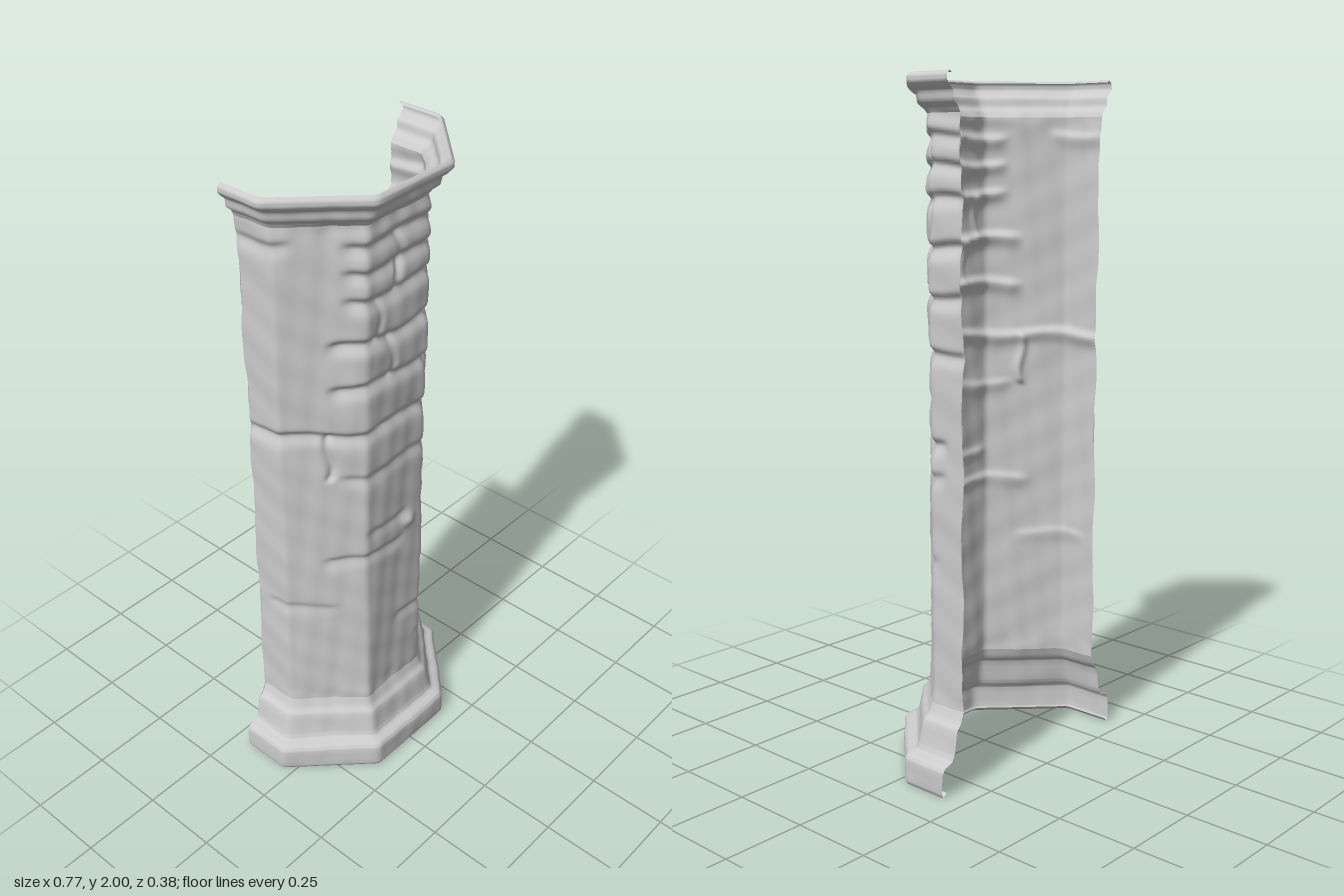
import * as THREE from 'three';

// Half-octagon column shell: centre of the octagon lies on the open back edge.
const BACK = -0.19, COLS = 128;

// Silhouette: [height, distance from centre to the flat of a face]
const baseProfile = [[0.012, 0.362], [0, 0.375], [0.012, 0.381], [0.075, 0.381], [0.09, 0.372],
  [0.1, 0.345], [0.12, 0.337], [0.185, 0.327], [0.205, 0.31], [0.235, 0.299]];
const capProfile = [[1.895, 0.299], [1.91, 0.307], [1.925, 0.325], [1.95, 0.329], [1.96, 0.342],
  [1.975, 0.355], [1.99, 0.355], [2, 0.345], [1.994, 0.338]];

// Mortar lines: [height, depth, start angle, end angle]; angle 0 faces front
const beds = [[1.9, 0.008, -40, 90], [1.835, 0.013, -32, 90], [1.755, 0.014, -32, 90],
  [1.67, 0.014, -32, 90], [1.54, 0.016, -40, 90], [1.405, 0.014, -40, 90], [1.25, 0.013, -90, 90],
  [1.1, 0.007, -35, 60], [0.99, 0.013, 26, 75], [0.9, 0.009, 26, 75], [0.89, 0.007, -20, 8],
  [0.8, 0.008, -45, 5], [0.66, 0.005, 25, 70], [0.485, 0.007, 3, 50], [0.36, 0.005, 20, 55],
  [1.84, 0.009, -90, -60], [0.62, 0.005, -80, -40]];

// Upright joints: [angle, low, high, depth]
const joints = [[40, 1.84, 1.92, 0.013], [30, 1.76, 1.84, 0.012], [0, 1.76, 1.84, 0.008],
  [37, 1.67, 1.755, 0.012], [0, 1.67, 1.755, 0.01], [30, 1.54, 1.67, 0.008], [-15, 1.54, 1.67, 0.006],
  [39, 1.405, 1.54, 0.014], [-5, 1.405, 1.54, 0.006], [25, 1.25, 1.405, 0.006],
  [39, 1.11, 1.25, 0.013], [-42, 1.1, 1.25, 0.012], [60, 1.11, 1.25, 0.01],
  [43, 0.9, 0.99, 0.008], [28, 0.9, 1.1, 0.006], [66, 1.54, 1.67, 0.01], [66, 1.76, 1.84, 0.01]];

const step = THREE.MathUtils.smoothstep;
const band = (v, lo, hi, soft) => step(v, lo - soft, lo + soft) * (1 - step(v, hi - soft, hi + soft));
const bump = (v, w) => Math.exp(-(v * v) / (w * w));

// Gentle hand-worn unevenness
const wear = (a, y) => 0.0022 * Math.sin(a * 0.13 + 7 * y) * Math.sin(11 * y - a * 0.05 + 1)
  + 0.0015 * Math.sin(a * 0.31 + 23 * y) * Math.sin(31 * y - 0.17 * a);

// Relief of the stonework on the shaft
function masonry(a, y) {
  let d = wear(a, y);
  const wavy = y + 0.006 * Math.sin(a * 0.11 + y * 9);
  for (const [h, depth, from, to] of beds) {
    const t = wavy - h;
    // sharp under the stone above, sloping out over the stone below
    d -= depth * bump(t, t > 0 ? 0.012 : 0.026) * band(a, from, to, 5);
  }
  for (const [angle, lo, hi, depth] of joints)
    d -= depth * bump(a - angle - 1.5 * Math.sin(y * 40), 2.2) * band(y, lo, hi, 0.012);
  // swollen stones in the upper courses
  d += 0.004 * step(y, 1.2, 1.4) * band(a, -35, 95, 8);
  // small chipped knob
  d += 0.012 * bump(a - 11, 4) * bump(y - 0.85, 0.022);
  return d * band(y, 0.24, 1.9, 0.03);
}

// Sweeps rows of [height, apothem] around the half octagon
function shell(name, rows, relief, material) {
  const pos = [], index = [];
  rows.forEach(([y, apothem], j) => {
    for (let i = 0; i <= COLS; i++) {
      const a = -90 + 180 * i / COLS;
      const off = THREE.MathUtils.degToRad(a - 45 * Math.round(a / 45));
      const r = Math.min(1 / Math.cos(off), 1.076) * (apothem + relief(a, y));
      const rad = THREE.MathUtils.degToRad(a);
      const edge = Math.abs(a) === 90 ? 0.006 + 0.005 * Math.sin(y * 17 + a) : 0;
      pos.push(r * Math.sin(rad), y, BACK + r * Math.cos(rad) + edge);
      if (j && i) {
        const d = j * (COLS + 1) + i, c = d - 1, b = d - COLS - 1, e = b - 1;
        index.push(e, b, d, e, d, c);
      }
    }
  });
  const g = new THREE.BufferGeometry();
  g.setAttribute('position', new THREE.Float32BufferAttribute(pos, 3));
  g.setIndex(index);
  g.computeVertexNormals();
  const mesh = new THREE.Mesh(g, material);
  mesh.name = name;
  return mesh;
}

// Adds rows between the profile points
function refine(profile, n) {
  const rows = [];
  profile.forEach(([y, r], k) => {
    const next = profile[k + 1];
    if (!next) return rows.push([y, r]);
    for (let i = 0; i < n; i++) rows.push([y + (next[0] - y) * i / n, r + (next[1] - r) * i / n]);
  });
  return rows;
}

export function createModel() {
  const group = new THREE.Group();
  group.name = 'halfColumn';
  const stone = new THREE.MeshStandardMaterial({ color: 0xcccccc, side: THREE.DoubleSide });
  const mould = (a, y) => wear(a, y) * band(y, 0.02, 1.97, 0.02);

  // Flared plinth
  group.add(shell('base', refine(baseProfile, 3), (a, y) => mould(a, y) + masonry(a, y) * step(y, 0.2, 0.235), stone));
  // Brick shaft
  const shaft = refine([[0.235, 0.299], [0.6, 0.296], [1.2, 0.296], [1.895, 0.299]], 100);
  const blend = (y) => 1 - band(y, 0.27, 1.86, 0.035);
  group.add(shell('shaft', shaft, (a, y) => masonry(a, y) + mould(a, y) * blend(y), stone));
  // Stepped capital
  group.add(shell('capital', refine(capProfile, 3), (a, y) => mould(a, y) + masonry(a, y) * (1 - step(y, 1.895, 1.93)), stone));
  return group;
}
